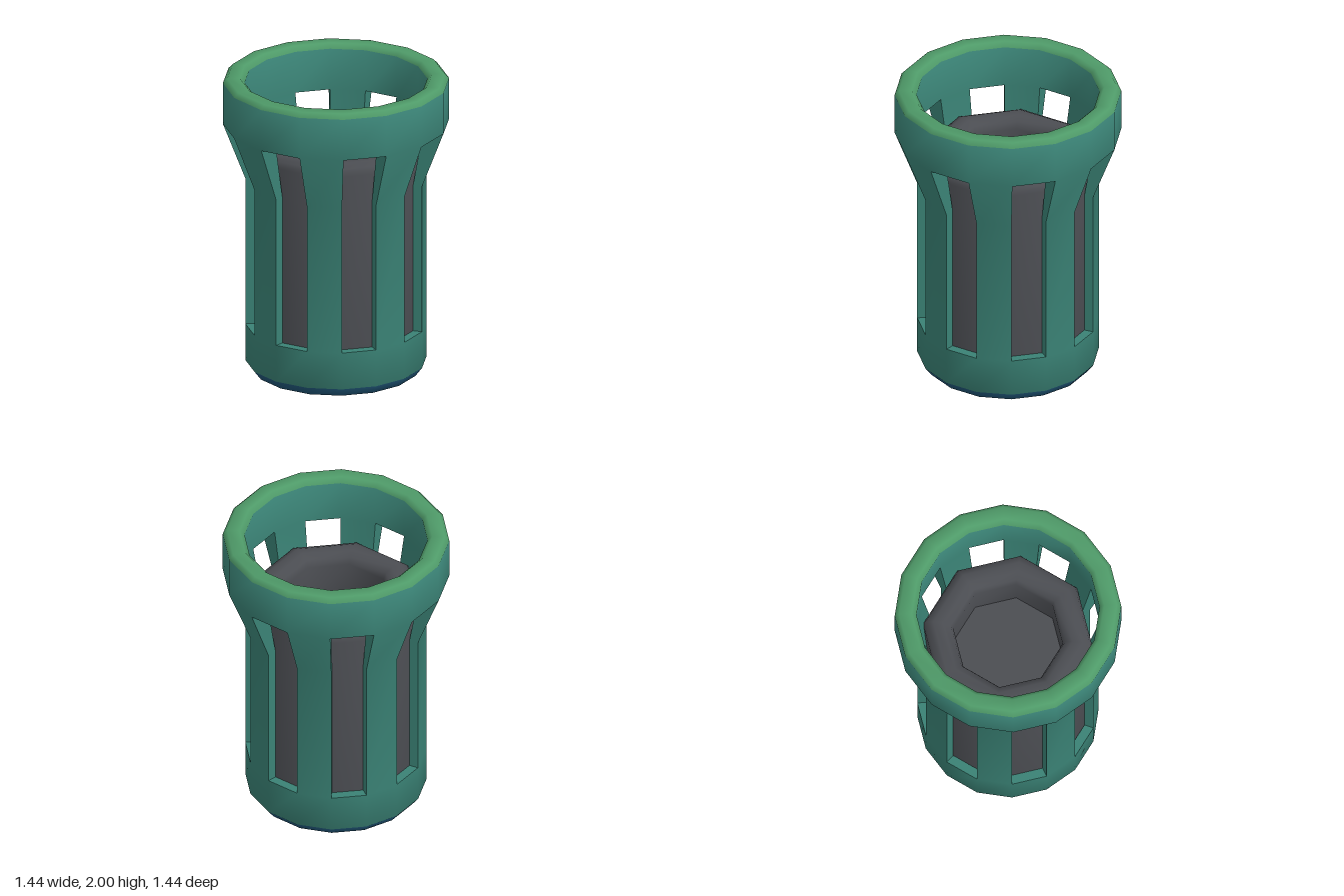
import * as THREE from 'three';
import { toCreasedNormals } from 'three/addons/utils/BufferGeometryUtils.js';

const mat = (name, color) => Object.assign(new THREE.MeshStandardMaterial({ color }), { name });

// Point on a polygon ring: r is the distance to the flat side, k the corner number
function corner(sides, [r, y], k) {
  const a = (k - 0.5) * 2 * Math.PI / sides, R = r / Math.cos(Math.PI / sides);
  return [R * Math.sin(a), y, R * Math.cos(a)];
}

function quad(out, a, b, c, d) {
  out.push(...a, ...b, ...c, ...a, ...c, ...d);
}

// Sweep one profile segment round the polygon, optionally leaving every other side open
function band(out, sides, p, q, slotted = false) {
  for (let k = 0; k < sides; k++) {
    if (slotted && k % 2 === 0) continue;
    const a = corner(sides, p, k), b = corner(sides, p, k + 1);
    const c = corner(sides, q, k + 1), d = corner(sides, q, k);
    if (p[0] === 0) out.push(...a, ...c, ...d);
    else if (q[0] === 0) out.push(...a, ...b, ...c);
    else quad(out, a, b, c, d);
  }
}

// Join coloured parts into one smoothly shaded surface with a group per part
function surface(parts, crease) {
  const geo = new THREE.BufferGeometry();
  geo.setAttribute('position', new THREE.Float32BufferAttribute(parts.flat(), 3));
  let start = 0;
  parts.forEach((p, i) => {
    geo.addGroup(start, p.length / 3, i);
    start += p.length / 3;
  });
  return toCreasedNormals(geo, crease);
}

export function createModel() {
  const model = new THREE.Group();
  model.name = 'litterBin';
  const teal = mat('teal', 0x3a8275);
  const green = mat('rimGreen', 0x4f9b69);
  const blue = mat('baseBlue', 0x1f5475);
  const grey = mat('linerGrey', 0x4b4d52);

  // Slot corner levels on the outside and inside of the shell
  const N = 16;
  const outer = [[0.575, 0.31], [0.575, 1.31], [0.718, 1.69]];
  const inner = [[0.515, 0.31], [0.515, 1.31], [0.58, 1.69]];
  const body = [], rim = [], base = [];

  // Base with chamfered edge
  band(base, N, [0, 0], [0.53, 0]);
  band(base, N, [0.53, 0], [0.575, 0.06]);

  // Solid lower and upper rings
  band(body, N, [0.575, 0.06], outer[0]);
  band(body, N, outer[2], [0.718, 1.97]);
  band(body, N, [0.58, 1.97], inner[2]);

  // Pillars between the slots
  for (let i = 0; i < 2; i++) {
    band(body, N, outer[i], outer[i + 1], true);
    band(body, N, inner[i + 1], inner[i], true);
  }

  // Slot sides, sills and heads
  for (let k = 0; k < N; k += 2) {
    const O = (i, s) => corner(N, outer[i], k + s), I = (i, s) => corner(N, inner[i], k + s);
    for (let i = 0; i < 2; i++) {
      quad(body, O(i, 0), I(i, 0), I(i + 1, 0), O(i + 1, 0));
      quad(body, I(i, 1), O(i, 1), O(i + 1, 1), I(i + 1, 1));
    }
    quad(body, O(0, 0), O(0, 1), I(0, 1), I(0, 0));
    quad(body, I(2, 0), I(2, 1), O(2, 1), O(2, 0));
  }

  // Bevelled top rim
  const rimProfile = [[0.718, 1.97], [0.69, 2], [0.61, 2], [0.58, 1.97]];
  for (let i = 0; i < 3; i++) band(rim, N, rimProfile[i], rimProfile[i + 1]);

  const shell = new THREE.Mesh(surface([body, rim, base], 1.1), [teal, green, blue]);
  shell.name = 'slottedShell';
  model.add(shell);

  // Eight-sided liner with a rounded lip and a sunken floor
  const liner = [];
  const profile = [[0, 0.2], [0.512, 0.2], [0.512, 1.5], [0.497, 1.545], [0.45, 1.57],
    [0.39, 1.57], [0.345, 1.545], [0.33, 1.5], [0.33, 1.25], [0, 1.25]];
  for (let i = 0; i < profile.length - 1; i++) band(liner, 8, profile[i], profile[i + 1]);
  const linerMesh = new THREE.Mesh(surface([liner], 1.1), [grey]);
  linerMesh.name = 'innerLiner';
  model.add(linerMesh);

  return model;
}
